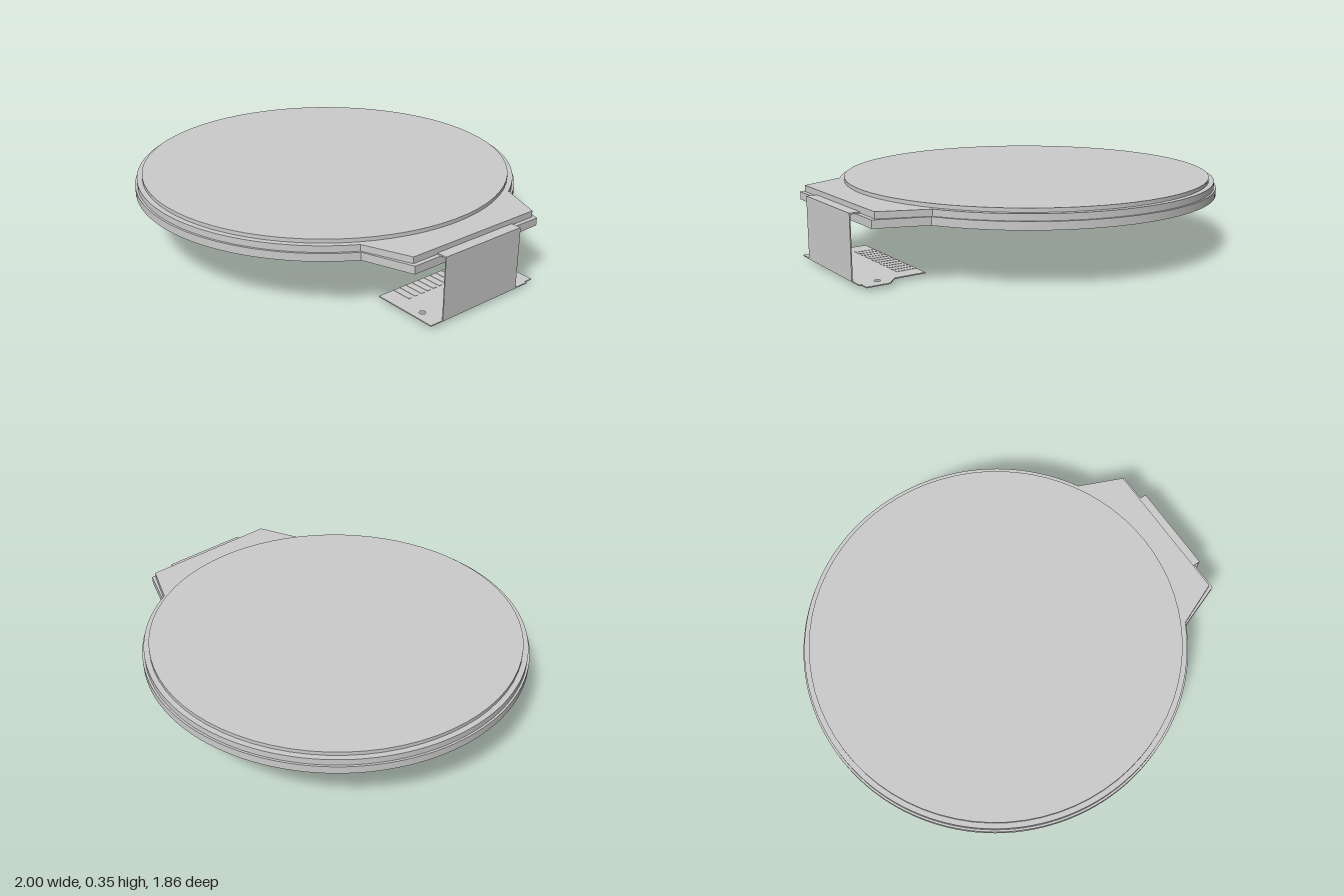
import * as THREE from 'three';
import { toCreasedNormals } from 'three/addons/utils/BufferGeometryUtils.js';

const material = new THREE.MeshStandardMaterial({ color: 0xcccccc });
const CENTER_X = -0.07;

// Extrudes an outline drawn in (x, z) between two heights
function slab(name, shape, bottom, top) {
  const geometry = new THREE.ExtrudeGeometry(shape, {
    depth: top - bottom, bevelEnabled: false, curveSegments: 56,
  });
  geometry.rotateX(Math.PI / 2);
  geometry.translate(0, top, 0);
  const mesh = new THREE.Mesh(toCreasedNormals(geometry, 0.4), material);
  mesh.name = name;
  return mesh;
}

// Box from its minimum and maximum corners
function box(name, min, max) {
  const size = max.map((v, i) => v - min[i]);
  const mesh = new THREE.Mesh(new THREE.BoxGeometry(...size), material);
  mesh.position.set(...max.map((v, i) => (v + min[i]) / 2));
  mesh.name = name;
  return mesh;
}

// Round outline with a tapered connector tab on the +x side
function tabbedDisc(radius, tabX, tabZ) {
  const a = 0.512;
  const shape = new THREE.Shape();
  shape.moveTo(tabX, -tabZ);
  shape.lineTo(tabX, tabZ);
  shape.absarc(CENTER_X, 0, radius, a, Math.PI * 2 - a, false);
  shape.closePath();
  return shape;
}

export function createModel() {
  const model = new THREE.Group();
  model.name = 'roundDisplay';

  // Stacked panel layers
  model.add(slab('lowerGlass', tabbedDisc(0.93, 0.97, 0.37), 0.27, 0.307));
  model.add(slab('upperGlass', tabbedDisc(0.92, 0.95, 0.36), 0.307, 0.337));
  const cover = new THREE.Mesh(new THREE.CylinderGeometry(0.895, 0.895, 0.018, 72), material);
  cover.position.set(CENTER_X, 0.346, 0);
  cover.name = 'topFilm';
  model.add(cover);

  // Flat cable: lies on the tab ledge, then drops down
  const cable = new THREE.Group();
  cable.name = 'flatCable';
  cable.add(box('cableTop', [0.95, 0.307, -0.226], [1, 0.313, 0.226]));
  cable.add(box('cableDrop', [0.995, 0.016, -0.226], [1, 0.313, 0.226]));

  // Connector plate with one flared ear and two locating holes
  const plate = new THREE.Shape([
    [0.68, -0.29], [0.68, 0.295], [1, 0.295], [1, -0.3],
    [0.99, -0.3], [0.99, -0.345], [0.88, -0.345], [0.83, -0.29],
  ].map(([x, z]) => new THREE.Vector2(x, z)));
  for (const [x, z] of [[0.9, 0.247], [0.91, -0.285]]) {
    const hole = new THREE.Path();
    hole.absarc(x, z, 0.014, 0, Math.PI * 2, true);
    plate.holes.push(hole);
  }
  cable.add(slab('connectorPlate', plate, 0.016, 0.021));

  // Row of contact fingers
  const contacts = new THREE.Group();
  contacts.name = 'contacts';
  const count = 12;
  for (let i = 0; i < count; i++) {
    const z = -0.203 + (0.406 * i) / (count - 1);
    contacts.add(box('contact', [0.681, 0, z - 0.009], [0.78, 0.0225, z + 0.009]));
  }
  cable.add(contacts);
  model.add(cable);
  return model;
}
